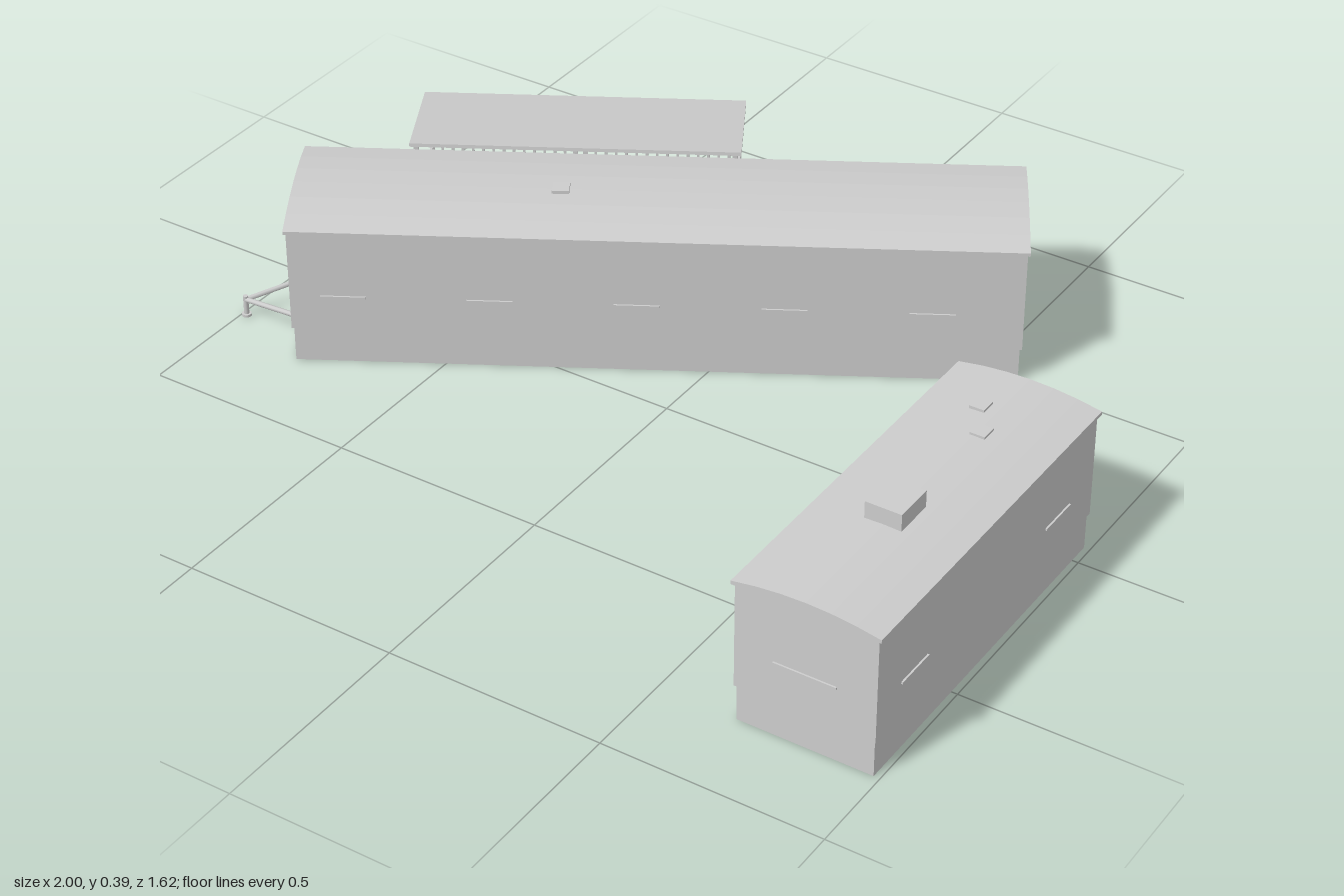
import * as THREE from 'three';

const grey = new THREE.MeshStandardMaterial({ color: 0xcccccc, side: THREE.DoubleSide });
grey.name = 'light grey';

function add(parent, name, geo, x = 0, y = 0, z = 0) {
  const mesh = new THREE.Mesh(geo, grey);
  mesh.name = name;
  mesh.position.set(x, y, z);
  parent.add(mesh);
  return mesh;
}

const box = (parent, name, w, h, d, x, y, z) =>
  add(parent, name, new THREE.BoxGeometry(w, h, d), x, y, z);

// Round bar between two points
function rod(parent, name, a, b, r) {
  const from = new THREE.Vector3(...a), to = new THREE.Vector3(...b);
  const dir = to.clone().sub(from);
  const mesh = add(parent, name, new THREE.CylinderGeometry(r, r, dir.length(), 8));
  mesh.position.copy(from).add(to).multiplyScalar(0.5);
  mesh.quaternion.setFromUnitVectors(new THREE.Vector3(0, 1, 0), dir.normalize());
}

// Four walls without floor or ceiling
function shell(parent, name, halfX, halfZ, y0, y1) {
  const r = Math.SQRT2;
  const geo = new THREE.CylinderGeometry(r, r, 1, 4, 1, true, Math.PI / 4).toNonIndexed();
  geo.scale(halfX, y1 - y0, halfZ);
  geo.computeVertexNormals();
  add(parent, name, geo, 0, (y0 + y1) / 2, 0);
}

// Shallow arched roof running along x
function roof(parent, halfX, halfZ) {
  const shape = new THREE.Shape();
  const segments = 6;
  shape.moveTo(-halfZ, 0.33);
  for (let i = 0; i <= segments; i++) {
    const t = -1 + (2 * i) / segments;
    shape.lineTo(t * halfZ, 0.355 - 0.017 * t * t);
  }
  shape.lineTo(halfZ, 0.33);
  const geo = new THREE.ExtrudeGeometry(shape, { depth: halfX * 2, bevelEnabled: false });
  geo.translate(0, 0, -halfX);
  geo.rotateY(Math.PI / 2);
  add(parent, 'roof', geo);
}

// Stairs going down along the group's +z
function steps(parent, x, z, turn) {
  const group = new THREE.Group();
  group.name = 'steps';
  group.position.set(x, 0, z);
  group.rotation.y = turn;
  parent.add(group);
  const count = 4, run = 0.026;
  for (let i = 0; i < count; i++) {
    const h = 0.085 - i * 0.021;
    box(group, 'step', 0.098, h, run, 0, h / 2, run * (i + 0.5));
  }
}

// Trailer body with skirting, window rails and a towing frame at the -x end
function trailer(name, halfX, halfZ, windowXs, endRail) {
  const g = new THREE.Group();
  g.name = name;
  shell(g, 'skirting', halfX - 0.01, halfZ - 0.011, 0, 0.087);
  shell(g, 'walls', halfX - 0.005, halfZ - 0.007, 0.085, 0.335);
  roof(g, halfX, halfZ);
  for (const side of [-1, 1]) {
    for (const x of windowXs) {
      box(g, 'windowRail', 0.1, 0.005, 0.006, x, 0.17, side * (halfZ - 0.006));
    }
    box(g, 'endWindowRail', 0.006, 0.005, endRail, side * (halfX - 0.004), 0.18, 0);
  }
  const tip = [-halfX - 0.125, 0.042, 0];
  for (const side of [-1, 1]) {
    rod(g, 'hitchBar', [-halfX + 0.01, 0.055, side * 0.083], tip, 0.006);
  }
  rod(g, 'hitchJack', [tip[0], 0, 0], [tip[0], 0.052, 0], 0.006);
  add(g, 'jackFoot', new THREE.CylinderGeometry(0.011, 0.011, 0.006, 12), tip[0], 0.003, 0);
  return g;
}

// Covered deck behind the long trailer
function porch() {
  const g = new THREE.Group();
  g.name = 'porch';
  const x0 = -0.567, x1 = 0.172, zIn = -0.172, zOut = -0.478;
  const midX = (x0 + x1) / 2, midZ = (zIn + zOut) / 2, depth = zIn - zOut;
  box(g, 'deck', x1 - x0 - 0.01, 0.012, depth - 0.006, midX, 0.079, midZ);

  // Sloping cover
  const rise = 0.045;
  const cover = box(g, 'porchRoof', x1 - x0, 0.008, Math.hypot(depth, rise), midX, 0.33, midZ);
  cover.rotation.x = -Math.atan2(rise, depth);

  // Posts and railings
  const zRail = zOut + 0.014, xa = x0 + 0.014, xb = x1 - 0.014;
  for (const x of [xa, midX, xb]) {
    box(g, 'post', 0.011, 0.308, 0.011, x, 0.154, zRail);
    box(g, 'innerPost', 0.011, 0.345, 0.011, x, 0.1725, zIn - 0.012);
  }
  box(g, 'beam', xb - xa, 0.012, 0.008, midX, 0.302, zRail);
  const railing = (ax, az, bx, bz) => {
    const len = Math.hypot(bx - ax, bz - az), n = Math.max(2, Math.round(len / 0.024));
    const w = Math.abs(bx - ax) + 0.006, d = Math.abs(bz - az) + 0.006;
    for (const y of [0.1, 0.178]) box(g, 'rail', w, 0.007, d, (ax + bx) / 2, y, (az + bz) / 2);
    for (let i = 0; i <= n; i++) {
      const t = i / n;
      box(g, 'baluster', 0.006, 0.08, 0.006, ax + (bx - ax) * t, 0.138, az + (bz - az) * t);
    }
  };
  railing(xa, zRail, xb, zRail);
  railing(xa, zRail, xa, zIn - 0.012);
  railing(xb, zRail, xb, -0.368);
  railing(xb, -0.262, xb, zIn - 0.012);
  steps(g, x1 - 0.005, -0.315, Math.PI / 2);
  return g;
}

export function createModel() {
  const model = new THREE.Group();
  model.name = 'trailerHomes';

  const long = trailer('longTrailer', 0.802, 0.179, [-0.68, -0.36, -0.04, 0.28, 0.6], 0.16);
  long.position.set(-0.185, 0, -0.255);
  long.rotation.y = Math.PI / 6;
  box(long, 'roofVent', 0.038, 0.02, 0.038, -0.215, 0.352, 0);
  long.add(porch());
  model.add(long);

  const short = trailer('shortTrailer', 0.435, 0.164, [-0.28, 0.29], 0.14);
  short.position.set(0.833, 0, 0.3725);
  short.rotation.y = -Math.PI / 2;
  box(short, 'roofVent', 0.037, 0.02, 0.034, -0.3, 0.35, 0.038);
  box(short, 'roofVent', 0.037, 0.02, 0.034, -0.22, 0.35, -0.008);
  box(short, 'airConditioner', 0.094, 0.045, 0.082, 0.1, 0.37, 0.003);
  steps(short, -0.1825, 0.16, 0);
  model.add(short);

  return model;
}
